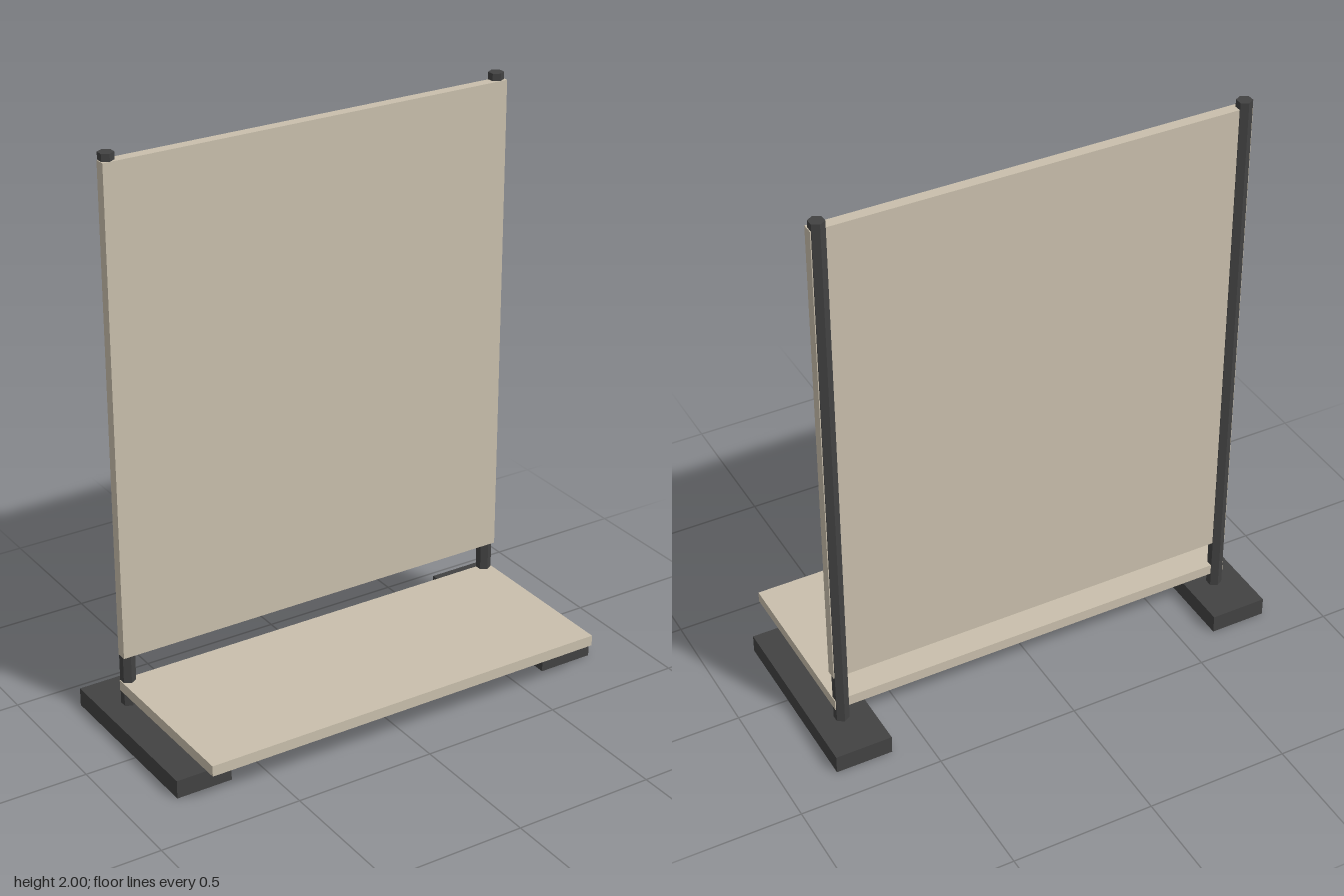
import * as THREE from 'three';

export function createModel() {
  const model = new THREE.Group();
  model.name = 'displayStand';

  const board = new THREE.MeshStandardMaterial({ color: 0xc9bfac, flatShading: true });
  board.name = 'beigeBoard';
  const metal = new THREE.MeshStandardMaterial({ color: 0x424242, flatShading: true });
  metal.name = 'darkMetal';

  const add = (name, geometry, material, x, y, z) => {
    const mesh = new THREE.Mesh(geometry, material);
    mesh.name = name;
    mesh.position.set(x, y, z);
    model.add(mesh);
  };

  // Box given by its min and max corners
  const addBox = (name, material, [x0, y0, z0], [x1, y1, z1]) =>
    add(name, new THREE.BoxGeometry(x1 - x0, y1 - y0, z1 - z0), material,
      (x0 + x1) / 2, (y0 + y1) / 2, (z0 + z1) / 2);

  // Upright back panel and low shelf
  addBox('backPanel', board, [-0.748, 0.253, -0.23], [0.748, 1.975, -0.192]);
  addBox('shelf', board, [-0.748, 0.115, -0.23], [0.748, 0.153, 0.385]);

  // Foot block and hexagonal post on each side
  const footHeight = 0.065;
  const postHeight = 2 - footHeight;
  for (const [side, s] of [['left', 1], ['right', -1]]) {
    add(side + 'Foot', new THREE.BoxGeometry(0.2, footHeight, 0.665), metal,
      s * 0.72, footHeight / 2, -0.0525);
    add(side + 'Post', new THREE.CylinderGeometry(0.0265, 0.0265, postHeight, 6), metal,
      s * 0.722, footHeight + postHeight / 2, -0.219);
  }

  return model;
}
